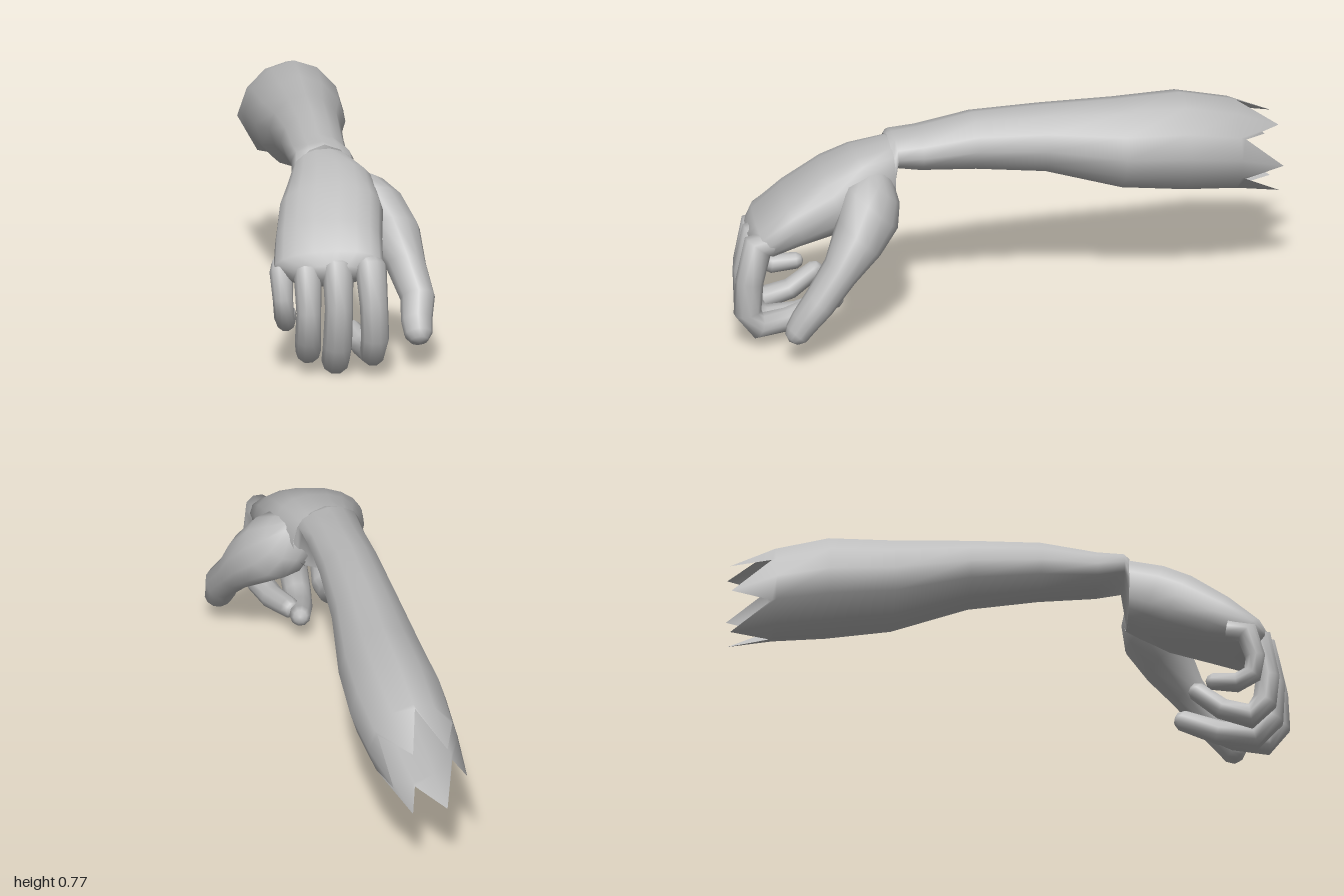
import * as THREE from 'three';

const skin = new THREE.MeshStandardMaterial({ color: 0xbababa, side: THREE.DoubleSide });
skin.name = 'grey skin';

// Skins a row of oval sections [x, y, z, half width, half thickness].
// axis fixes the facing of all sections, startAxis only of the first.
// power < 1 squares the oval; tip closes the far end; teeth tears the near end.
function loft(name, sections, { segs = 12, side = [1, 0, 0], axis, startAxis, power = 1, tip = 0, teeth = 0 } = {}) {
  const centres = sections.map(s => new THREE.Vector3(s[0], s[1], s[2]));
  const sideDir = new THREE.Vector3(...side);
  const last = sections.length - 1;
  const pow = v => Math.sign(v) * Math.abs(v) ** power;
  const rings = [];
  const addRing = (c, t, a, b) => {
    const s = sideDir.clone().addScaledVector(t, -sideDir.dot(t)).normalize();
    const n = t.clone().cross(s);
    const ring = [];
    for (let j = 0; j < segs; j++) {
      const th = (j / segs) * Math.PI * 2;
      ring.push(c.clone().addScaledVector(s, a * pow(Math.cos(th))).addScaledVector(n, b * pow(Math.sin(th))));
    }
    rings.push(ring);
  };
  let t;
  sections.forEach((s, i) => {
    const fixed = axis || (i === 0 && startAxis);
    t = fixed ? new THREE.Vector3(...fixed)
      : centres[Math.min(i + 1, last)].clone().sub(centres[Math.max(i - 1, 0)]);
    t.normalize();
    addRing(centres[i], t, s[3], s[4]);
  });
  if (teeth) rings[0].forEach((p, j) => { if (j % 2) p.lerp(rings[1][j], teeth); });
  if (tip) {
    const [, , , a, b] = sections[last];
    addRing(centres[last].clone().addScaledVector(t, tip * 0.7), t, a * 0.65, b * 0.65);
  }

  const points = rings.flat();
  const index = [];
  for (let i = 0; i < rings.length - 1; i++) {
    for (let j = 0; j < segs; j++) {
      const k = (j + 1) % segs;
      const p = i * segs + j, q = i * segs + k;
      index.push(p, q, p + segs, q, q + segs, p + segs);
    }
  }
  if (tip) {
    const base = (rings.length - 1) * segs;
    points.push(centres[last].clone().addScaledVector(t, tip));
    for (let j = 0; j < segs; j++) index.push(base + j, base + (j + 1) % segs, points.length - 1);
  }
  const geo = new THREE.BufferGeometry().setFromPoints(points);
  geo.setIndex(index);
  geo.computeVertexNormals();
  const mesh = new THREE.Mesh(geo, skin);
  mesh.name = name;
  return mesh;
}

export function createModel() {
  const model = new THREE.Group();
  model.name = 'forearmAndHand';

  // Hollow forearm with a torn elbow end, flaring into the heel of the hand
  model.add(loft('forearm', [
    [-0.06, 0.49, -1.0, 0.135, 0.15],
    [-0.04, 0.55, -0.84, 0.163, 0.17],
    [-0.035, 0.585, -0.65, 0.175, 0.185],
    [-0.04, 0.6, -0.42, 0.16, 0.168],
    [-0.055, 0.645, -0.15, 0.128, 0.125],
    [-0.062, 0.662, 0.1, 0.112, 0.107],
    [-0.065, 0.655, 0.3, 0.105, 0.08],
    [-0.06, 0.665, 0.395, 0.11, 0.065],
    [-0.055, 0.59, 0.415, 0.118, 0.133],
  ], { segs: 12, axis: [0, 0, 1], power: 1.1, teeth: 0.9 }));

  // Palm and back of the hand, starting upright at the wrist
  model.add(loft('palm', [
    [-0.055, 0.585, 0.41, 0.12, 0.122],
    [-0.045, 0.565, 0.5, 0.16, 0.13],
    [-0.055, 0.52, 0.6, 0.185, 0.13],
    [-0.08, 0.45, 0.74, 0.19, 0.105],
    [-0.095, 0.385, 0.855, 0.195, 0.075],
  ], { segs: 18, side: [1, 0.06, 0.2], startAxis: [0, 0, 1], power: 0.85, tip: 0.065 }));

  // Thumb with its fleshy base, all sections facing down its length
  model.add(loft('thumb', [
    [0.01, 0.62, 0.45, 0.07, 0.05],
    [0.055, 0.58, 0.465, 0.1, 0.09],
    [0.095, 0.525, 0.505, 0.12, 0.122],
    [0.16, 0.44, 0.57, 0.105, 0.1],
    [0.205, 0.335, 0.65, 0.072, 0.068],
    [0.237, 0.235, 0.735, 0.062, 0.06],
    [0.228, 0.165, 0.785, 0.056, 0.052],
    [0.23, 0.122, 0.815, 0.05, 0.045],
  ], { axis: [0.05, -0.72, 0.68], tip: 0.038 }));

  // Curled fingers: [x, y, z, radius] from knuckle to tip
  const fingers = {
    indexFinger: [
      [0.045, 0.4, 0.83, 0.045], [0.05, 0.392, 0.91, 0.056], [0.057, 0.26, 0.942, 0.05],
      [0.06, 0.145, 0.95, 0.05], [0.055, 0.083, 0.91, 0.047], [0.035, 0.085, 0.8, 0.043],
      [0.005, 0.115, 0.68, 0.037],
    ],
    middleFinger: [
      [-0.07, 0.395, 0.81, 0.045], [-0.065, 0.388, 0.89, 0.055], [-0.065, 0.25, 0.922, 0.05],
      [-0.07, 0.115, 0.915, 0.052], [-0.07, 0.048, 0.86, 0.05], [-0.05, 0.065, 0.74, 0.043],
      [-0.015, 0.125, 0.61, 0.037],
    ],
    ringFinger: [
      [-0.17, 0.38, 0.79, 0.042], [-0.17, 0.372, 0.87, 0.05], [-0.17, 0.23, 0.9, 0.044],
      [-0.172, 0.135, 0.89, 0.046], [-0.165, 0.08, 0.84, 0.045], [-0.155, 0.11, 0.74, 0.038],
      [-0.145, 0.18, 0.65, 0.034],
    ],
    littleFinger: [
      [-0.25, 0.375, 0.75, 0.035], [-0.258, 0.362, 0.82, 0.042], [-0.256, 0.27, 0.85, 0.036],
      [-0.25, 0.205, 0.84, 0.036], [-0.238, 0.175, 0.785, 0.035], [-0.22, 0.185, 0.7, 0.03],
    ],
  };
  for (const [name, path] of Object.entries(fingers)) {
    const r = path[path.length - 1][3];
    model.add(loft(name, path.map(([x, y, z, w]) => [x, y, z, w, w]), { segs: 10, tip: r * 0.8 }));
  }
  return model;
}
